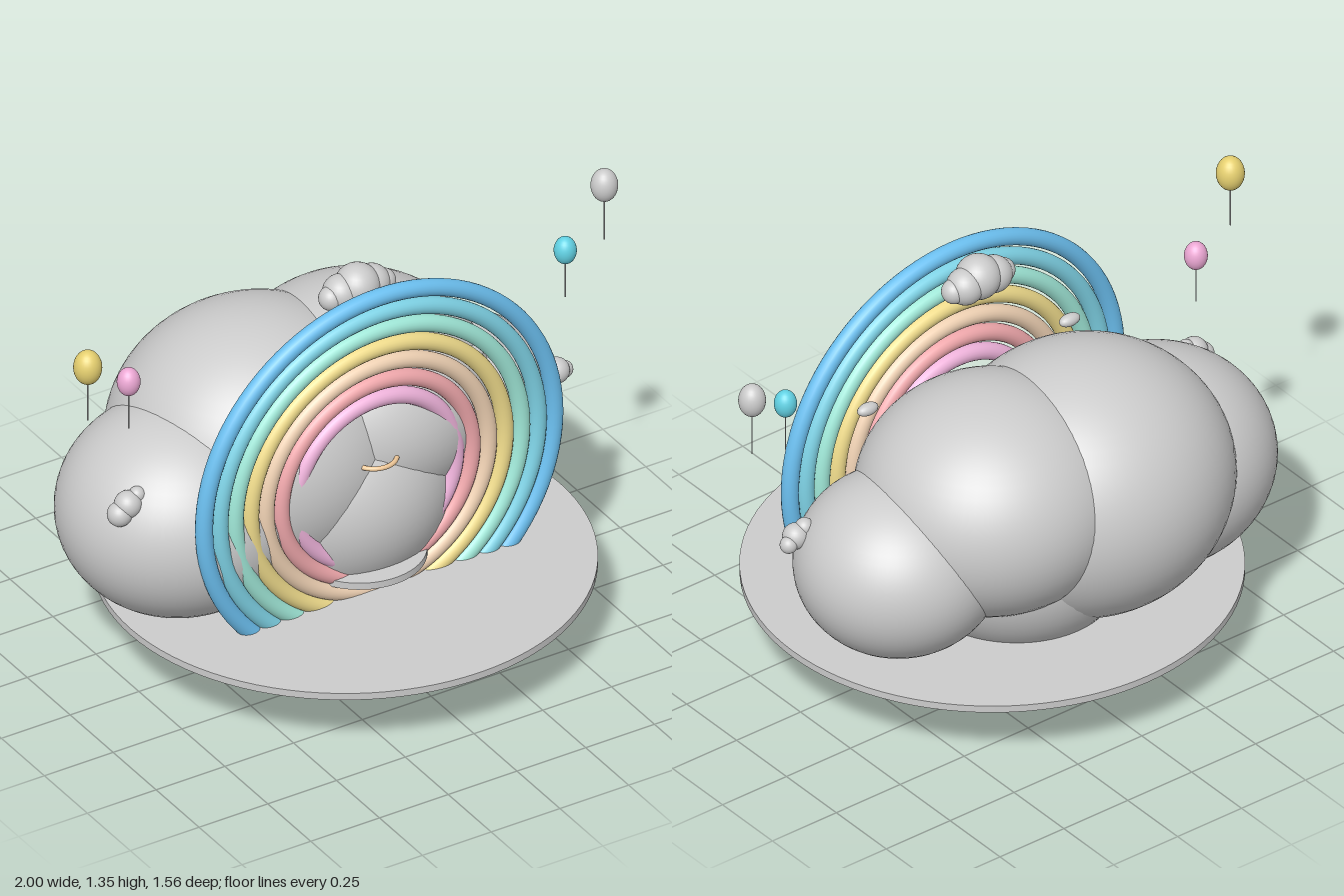
import * as THREE from 'three';

const mat = (color = 0xcccccc) => new THREE.MeshStandardMaterial({ color });
const grey = mat();

export function createModel() {
  const model = new THREE.Group();

  const add = (parent, name, geometry, material, x, y, z) => {
    const mesh = new THREE.Mesh(geometry, material);
    mesh.name = name;
    mesh.position.set(x, y, z);
    parent.add(mesh);
    return mesh;
  };
  const group = (name) => {
    const g = new THREE.Group();
    g.name = name;
    model.add(g);
    return g;
  };
  // Ellipsoid with its own radius along each axis
  const blob = (parent, name, material, [x, y, z], [rx, ry, rz], seg = 32) =>
    add(parent, name, new THREE.SphereGeometry(1, seg, seg / 2).scale(rx, ry, rz), material, x, y, z);

  // Round base plate
  add(model, 'basePlate', new THREE.CylinderGeometry(0.78, 0.78, 0.024, 96), grey, 0, 0.234, 0);

  // Main cloud
  const cloud = group('cloud');
  const puffs = [
    [[-0.175, 0.63, -0.235], [0.48, 0.435, 0.46]],
    [[0.16, 0.69, -0.2], [0.43, 0.37, 0.423]],
    [[-0.5, 0.525, -0.16], [0.395, 0.345, 0.378]],
    [[0.49, 0.55, -0.16], [0.33, 0.292, 0.327]],
    [[0.02, 0.485, -0.14], [0.4, 0.378, 0.407]],
  ];
  puffs.forEach(([p, r]) => blob(cloud, 'cloudPuff', grey, p, r, 64));

  // Rainbow of nested rings, each a little lower and further back
  const rainbow = group('rainbow');
  const bands = [0x6cc0f0, 0x7fd3e6, 0xa0e8d8, 0xf0dc8c, 0xf0d2b4, 0xf0a8ac, 0xf0b4dc];
  bands.forEach((color, i) => {
    add(rainbow, 'rainbowRing', new THREE.TorusGeometry(0.637 - 0.058 * i, 0.028, 20, 96),
      mat(color), 0, 0.67 - 0.0065 * i, 0.198 - 0.0035 * i);
  });

  // Small ledge and curved mouth on the front of the cloud
  add(model, 'ledge', new THREE.CylinderGeometry(0.21, 0.21, 0.024, 64), grey, 0, 0.315, 0.083);
  const mouth = add(model, 'mouth', new THREE.TorusGeometry(0.072, 0.008, 10, 32, Math.PI),
    mat(0xf0c898), 0, 0.703, 0.165);
  mouth.rotation.x = Math.PI / 2;

  // Little clouds: each puff is x, y, z, radius
  const cloudlets = {
    topCloudlet: [[0, 1.28, 0.07, 0.073], [-0.055, 1.27, 0.065, 0.06], [0.055, 1.27, 0.065, 0.06],
      [-0.095, 1.265, 0.07, 0.04], [0.095, 1.265, 0.07, 0.04]],
    leftCloudlet: [[0.735, 0.692, 0.0, 0.03], [0.765, 0.668, 0.005, 0.042], [0.8, 0.655, -0.005, 0.028]],
    rightCloudlet: [[-0.82, 0.682, 0, 0.04], [-0.79, 0.708, 0, 0.044], [-0.757, 0.733, 0, 0.026]],
  };
  for (const [name, parts] of Object.entries(cloudlets)) {
    const g = group(name);
    parts.forEach(([x, y, z, r]) => blob(g, 'cloudletPuff', grey, [x, y, z], [r, r, r]));
  }
  for (const side of [-1, 1]) {
    blob(model, 'smallPuff', grey, [0.395 * side, 0.925, 0.118], [0.038, 0.02, 0.022], 24);
  }

  // Balloons with strings: colour, position, radius, string end height
  const balloons = [
    [0xe6d070, [-0.955, 1.285, 0.03], 0.045, 1.09],
    [0xcccccc, [0.955, 1.27, -0.02], 0.043, 1.07],
    [0xeca8d4, [-0.75, 1.112, -0.06], 0.037, 0.94],
    [0x62d2e4, [0.766, 1.137, 0.055], 0.036, 0.965],
  ];
  balloons.forEach(([color, [x, y, z], r, end]) => {
    const g = group('balloon');
    blob(g, 'balloonBody', mat(color), [x, y, z], [r, r * 1.3, r]);
    add(g, 'balloonString', new THREE.CylinderGeometry(0.002, 0.002, y - end, 6), grey, x, (y + end) / 2, z);
  });

  return model;
}
